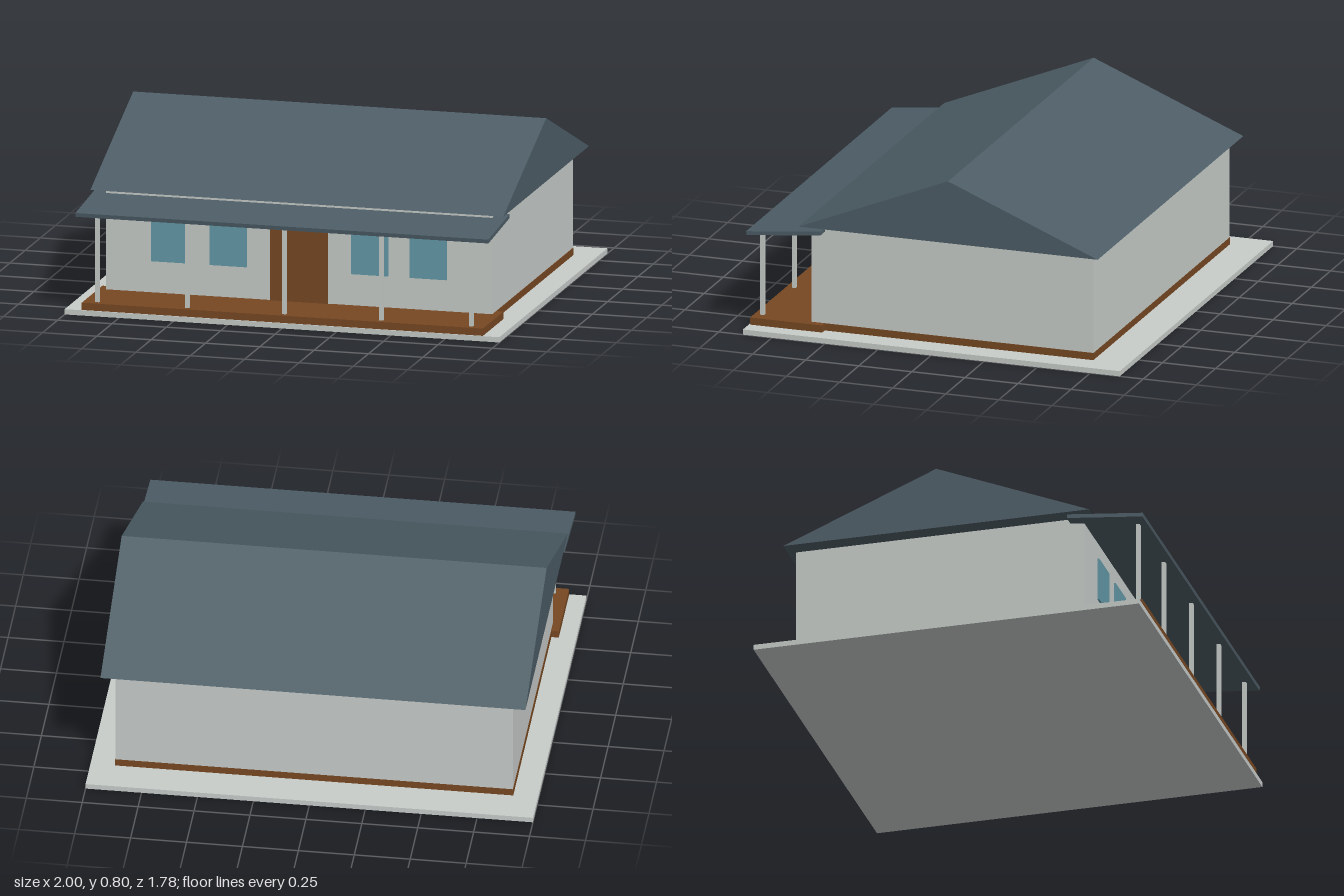
import * as THREE from 'three';

const mat = (name, color) => {
  const m = new THREE.MeshStandardMaterial({ color });
  m.name = name;
  return m;
};

export function createModel() {
  const house = new THREE.Group();
  house.name = 'house';

  const plaster = mat('pale grey', 0xc8cdca);
  const wood = mat('brown wood', 0x774822);
  const slate = mat('slate blue', 0x4d5d66);
  const glass = mat('window blue', 0x6499a8);

  // Box given by its extents on each axis
  function box(name, material, [x0, x1], [y0, y1], [z0, z1], parent = house) {
    const mesh = new THREE.Mesh(new THREE.BoxGeometry(x1 - x0, y1 - y0, z1 - z0), material);
    mesh.position.set((x0 + x1) / 2, (y0 + y1) / 2, (z0 + z1) / 2);
    mesh.name = name;
    parent.add(mesh);
    return mesh;
  }

  // Ground slab, floor and porch deck
  box('groundSlab', plaster, [-1, 1], [0, 0.024], [-0.889, 0.886]);
  box('floor', wood, [-0.89, 0.89], [0.024, 0.057], [-0.725, 0.6]);
  box('porchDeck', wood, [-0.923, 0.923], [0.024, 0.057], [0.54, 0.88]);

  // Main walls
  const wallFront = 0.603;
  box('walls', plaster, [-0.888, 0.888], [0.057, 0.505], [-0.725, wallFront]);

  // Gable roof: a closed triangular prism along x
  const gable = new THREE.Shape();
  gable.moveTo(-0.642, 0.514);
  gable.lineTo(0.767, 0.514);
  gable.lineTo(0.062, 0.802);
  gable.closePath();
  const roofGeometry = new THREE.ExtrudeGeometry(gable, { depth: 1.9, bevelEnabled: false });
  roofGeometry.translate(0, 0, -0.95);
  roofGeometry.rotateY(Math.PI / 2);
  const roof = new THREE.Mesh(roofGeometry, slate);
  roof.name = 'gableRoof';
  house.add(roof);

  // Sloping porch roof
  const porchRoof = new THREE.Mesh(new THREE.BoxGeometry(1.9, 0.018, 0.35), slate);
  porchRoof.position.set(0, 0.475, 0.714);
  porchRoof.rotation.x = 0.104;
  porchRoof.name = 'porchRoof';
  house.add(porchRoof);

  // Porch posts
  const posts = new THREE.Group();
  posts.name = 'porchPosts';
  house.add(posts);
  for (const x of [-0.86, -0.446, 0, 0.446, 0.86]) {
    box('post', plaster, [x - 0.009, x + 0.009], [0.057, 0.458], [0.834, 0.852], posts);
  }

  // Door with its frame
  box('doorFrame', plaster, [-0.148, 0.148], [0.057, 0.432], [wallFront - 0.002, wallFront + 0.003]);
  box('door', wood, [-0.133, 0.133], [0.057, 0.42], [wallFront - 0.002, wallFront + 0.006]);

  // Two windows on each side of the door
  for (const side of [-1, 1]) {
    for (const x of [0.325, 0.594]) {
      const c = side * x;
      box('window', glass, [c - 0.085, c + 0.085], [0.2, 0.4], [wallFront - 0.001, wallFront + 0.008]);
    }
  }

  return house;
}
